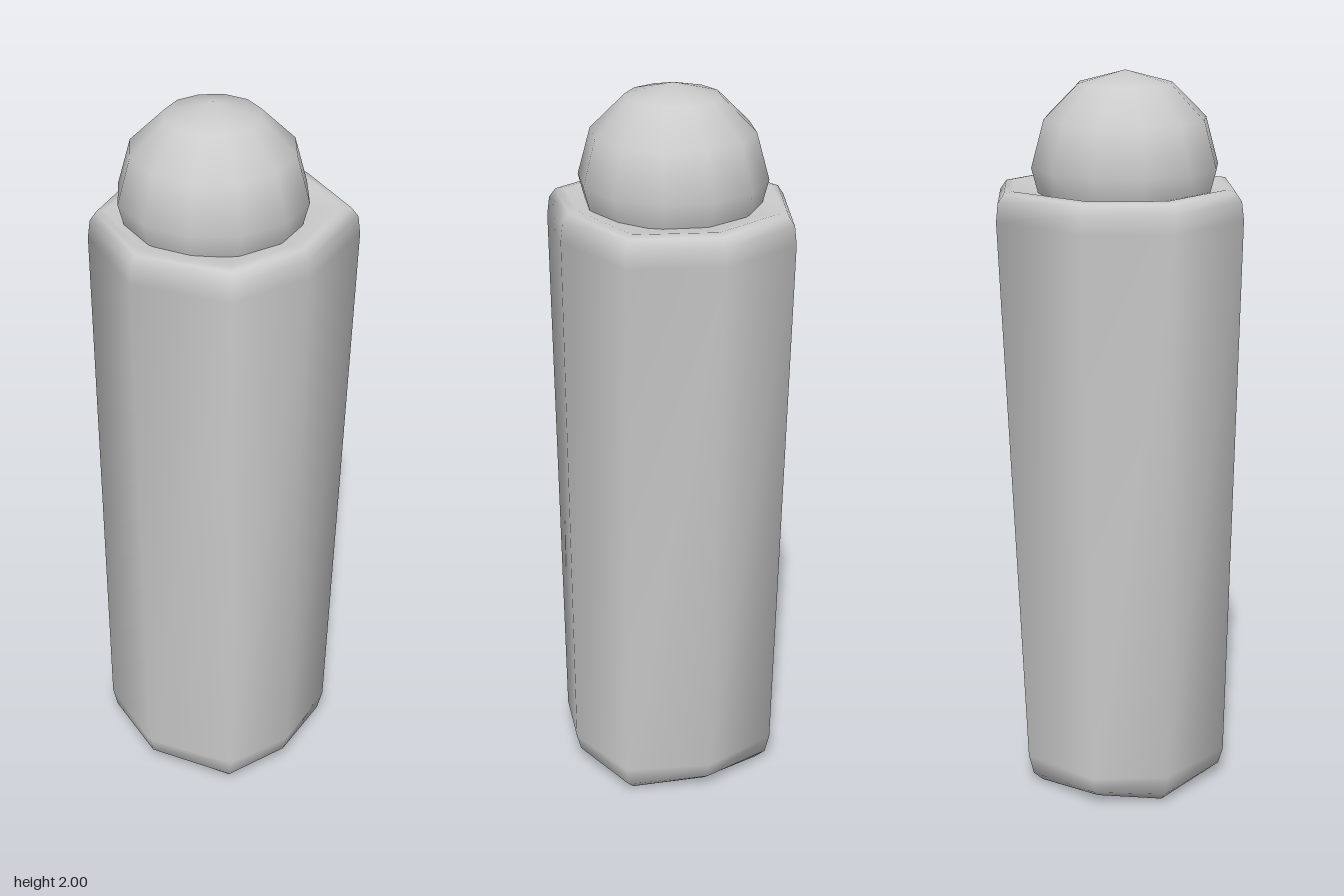
import * as THREE from 'three';

const material = new THREE.MeshStandardMaterial({ color: 0xcccccc });

// Irregular eight-sided outline (x, z) of the body at its upper end
const outline = [
  [0.02, 0.35], [0.277, 0.243], [0.327, 0.01], [0.26, -0.27],
  [0.015, -0.355], [-0.228, -0.265], [-0.328, 0.01], [-0.245, 0.243],
];

// Cross-sections from bottom to top: [y, scale, lift of every second corner]
const sections = [
  [0.045, 0.4, 0], [0.012, 0.78, 0.014], [0.005, 0.87, 0.015], [0.03, 0.96, 0.01], [0.085, 1, 0],
  [1.61, 1, 0], [1.66, 0.98, 0], [1.685, 0.93, 0], [1.69, 0.86, 0], [1.68, 0.72, 0], [1.665, 0.4, 0],
];

function createBody() {
  const n = outline.length;
  const positions = [];
  const index = [];
  for (const [y, s, lift] of sections) {
    const t = Math.min(1, y / 1.65);
    const kx = THREE.MathUtils.lerp(0.92, 1, t);
    const kz = THREE.MathUtils.lerp(0.81, 1, t);
    const dz = THREE.MathUtils.lerp(0.025, 0, t);
    outline.forEach(([x, z], i) => {
      positions.push(x * kx * s, y + (i % 2 ? 0 : lift), z * kz * s + dz);
    });
  }
  // Side quads between neighbouring sections
  for (let r = 0; r < sections.length - 1; r++) {
    for (let i = 0; i < n; i++) {
      const a = r * n + i, b = r * n + (i + 1) % n;
      index.push(a, b, b + n, a, b + n, a + n);
    }
  }
  // Shallow dished caps
  const bottom = positions.length / 3;
  const top = bottom + 1;
  positions.push(0, 0.05, 0.025, 0, 1.66, 0);
  const last = (sections.length - 1) * n;
  for (let i = 0; i < n; i++) {
    const j = (i + 1) % n;
    index.push(bottom, j, i, top, last + i, last + j);
  }
  const geometry = new THREE.BufferGeometry();
  geometry.setAttribute('position', new THREE.Float32BufferAttribute(positions, 3));
  geometry.setIndex(index);
  geometry.computeVertexNormals();
  return new THREE.Mesh(geometry, material);
}

export function createModel() {
  const group = new THREE.Group();
  group.name = 'peg';

  const body = createBody();
  body.name = 'body';
  group.add(body);

  // Ball resting in the dished top
  const ball = new THREE.Mesh(new THREE.SphereGeometry(0.256, 12, 6), material);
  ball.name = 'ball';
  ball.position.set(0, 1.744, 0.021);
  group.add(ball);

  return group;
}
